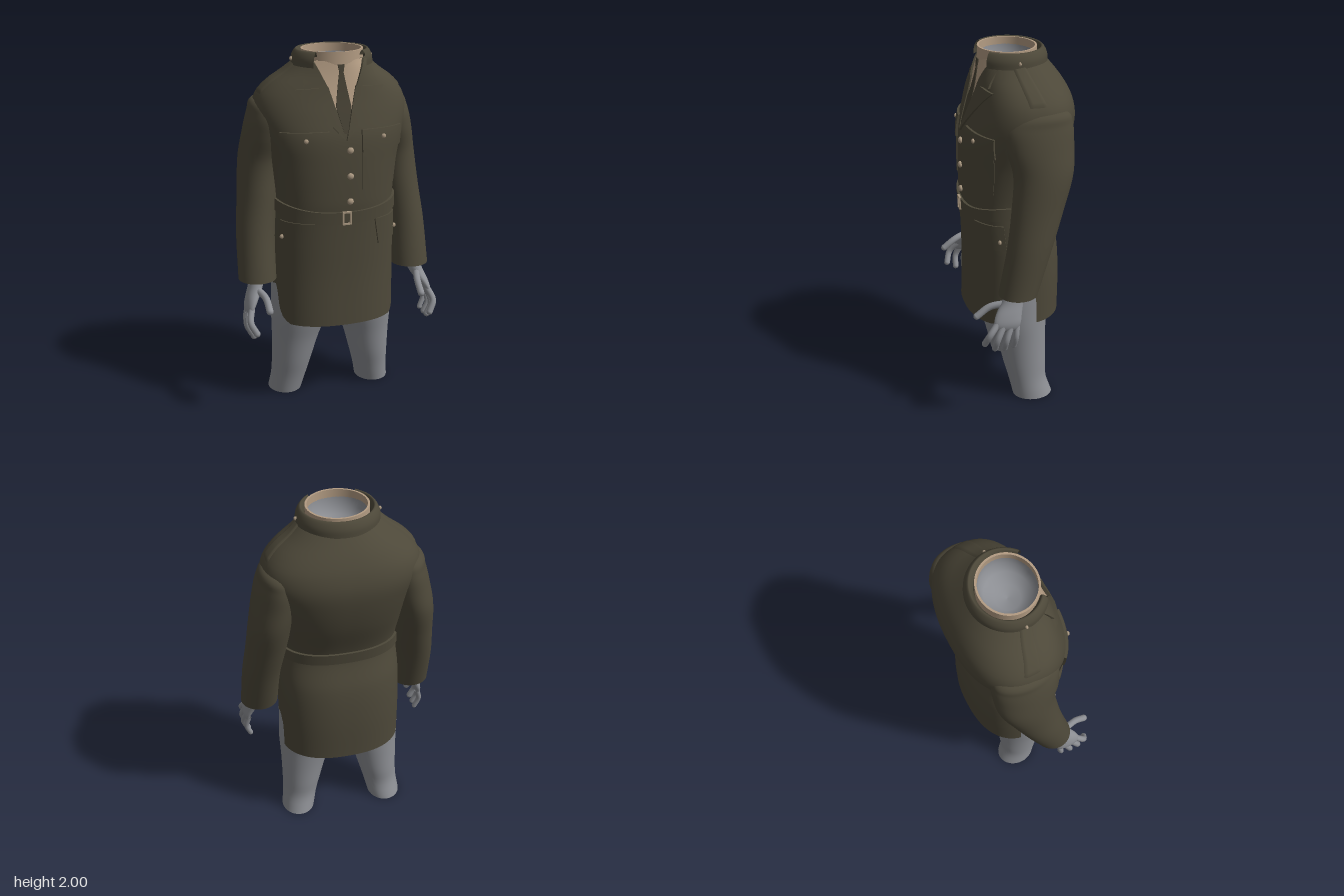
import * as THREE from 'three';
import { mergeVertices, toCreasedNormals } from 'three/addons/utils/BufferGeometryUtils.js';

const material = (name, color) => {
  const m = new THREE.MeshStandardMaterial({ color, side: THREE.DoubleSide });
  m.name = name;
  return m;
};

// Smooth interpolation of table rows keyed by their first column
function spline(rows) {
  const slope = (i, k) => {
    const a = rows[Math.max(i - 1, 0)], b = rows[Math.min(i + 1, rows.length - 1)];
    return (b[k] - a[k]) / (b[0] - a[0]);
  };
  return (t) => {
    let i = 0;
    while (i < rows.length - 2 && t > rows[i + 1][0]) i++;
    const a = rows[i], b = rows[i + 1], h = b[0] - a[0];
    const s = THREE.MathUtils.clamp((t - a[0]) / h, 0, 1), s2 = s * s, s3 = s2 * s;
    return a.slice(1).map((p, j) => (2 * s3 - 3 * s2 + 1) * p + (s3 - 2 * s2 + s) * h * slope(i, j + 1)
      + (3 * s2 - 2 * s3) * b[j + 1] + (s3 - s2) * h * slope(i + 1, j + 1));
  };
}

// Surface from a rule fn(u, v); it faces along du x dv
function grid(nu, nv, fn) {
  const pos = [], idx = [];
  for (let j = 0; j <= nv; j++) for (let i = 0; i <= nu; i++) pos.push(...fn(i / nu, j / nv));
  for (let j = 0; j < nv; j++) for (let i = 0; i < nu; i++) {
    const a = j * (nu + 1) + i, b = a + 1, c = b + nu + 1, d = a + nu + 1;
    idx.push(a, b, c, a, c, d);
  }
  let g = new THREE.BufferGeometry();
  g.setAttribute('position', new THREE.Float32BufferAttribute(pos, 3));
  g.setIndex(idx);
  g = mergeVertices(g, 1e-5);
  g.computeVertexNormals();
  return g;
}

// Vertical limb; rows are y, centre x, centre z, radius x, radius z
function limb(rows, nu, nv, ease = (v) => v) {
  const at = spline(rows), y0 = rows[0][0], y1 = rows[rows.length - 1][0];
  return grid(nu, nv, (u, v) => {
    const y = y0 + (y1 - y0) * ease(v), [cx, cz, rx, rz] = at(y), t = -u * Math.PI * 2;
    return [cx + rx * Math.cos(t), y, cz + rz * Math.sin(t)];
  });
}

// Coat cross-sections: y, half width, front z, back z, roundness
const section = spline([
  [0.49, 0.345, 0.275, -0.252, 2.4], [0.75, 0.345, 0.268, -0.253, 2.4], [0.95, 0.341, 0.27, -0.235, 2.4],
  [1.13, 0.328, 0.275, -0.188, 2.4], [1.2, 0.328, 0.28, -0.198, 2.4], [1.4, 0.36, 0.28, -0.272, 2.4],
  [1.55, 0.4, 0.27, -0.31, 2.4], [1.66, 0.425, 0.238, -0.321, 2.4], [1.75, 0.405, 0.208, -0.303, 2.4],
  [1.82, 0.345, 0.19, -0.268, 2.3], [1.88, 0.262, 0.178, -0.224, 2.2], [1.95, 0.185, 0.168, -0.165, 2],
]);
const spow = (c, e) => Math.sign(c) * Math.abs(c) ** e;
function coatRing(t, y, off = 0) {
  const [w, f, b, n] = section(y);
  return [(w + off) * spow(Math.cos(t), 2 / n), y, (f + b) / 2 + ((f - b) / 2 + off) * spow(Math.sin(t), 2 / n)];
}
// Point on the coat front at x, y, lifted along its normal
function onFront(x, y, off) {
  const [w, f, b, n] = section(y), h = (f - b) / 2;
  const q = Math.min(Math.abs(x) / w, 0.999), k = (1 - q ** n) ** (1 / n);
  const normal = new THREE.Vector2(Math.sign(x) * q ** (n - 1) / w, k ** (n - 1) / h).normalize();
  return [x + normal.x * off, y, (f + b) / 2 + h * k + normal.y * off];
}

// Cloth piece laid on the coat; corners run anticlockwise from bottom left
function patch([a, b, c, d], off) {
  const N = 12, mix = THREE.MathUtils.lerp;
  const inner = (t) => THREE.MathUtils.clamp((t * (N + 2) - 1) / N, 0, 1);
  const g = grid(N + 2, N + 2, (u, v) => {
    const edge = u === 0 || v === 0 || u === 1 || v === 1, s = inner(u), t = inner(v);
    const x = mix(mix(a[0], b[0], s), mix(d[0], c[0], s), t);
    const y = mix(mix(a[1], b[1], s), mix(d[1], c[1], s), t);
    return onFront(x, y, edge ? -0.002 : off);
  });
  return toCreasedNormals(g, 0.7);
}

function mirrored(geo) {
  const g = geo.index ? geo.toNonIndexed() : geo.clone();
  g.scale(-1, 1, 1);
  for (const name of ['position', 'normal']) {
    const arr = g.attributes[name].array;
    for (let i = 0; i < arr.length; i += 9) for (let k = 0; k < 3; k++) {
      const keep = arr[i + 3 + k];
      arr[i + 3 + k] = arr[i + 6 + k];
      arr[i + 6 + k] = keep;
    }
  }
  return g;
}

// Hem height by depth: straight, with an arched vent at each side
const vent = [[-0.05, 0.49], [-0.045, 0.58], [-0.015, 0.655], [0.03, 0.69], [0.07, 0.7], [0.09, 0.64],
  [0.1, 0.57], [0.13, 0.52], [0.175, 0.49]];
function hem(z) {
  for (let i = 0; i < vent.length - 1; i++) {
    const [z0, y0] = vent[i], [z1, y1] = vent[i + 1];
    if (z >= z0 && z < z1) return y0 + (y1 - y0) * (z - z0) / (z1 - z0);
  }
  return 0.49;
}

export function createModel() {
  const group = new THREE.Group();
  const coat = material('olive coat cloth', 0x4d4839);
  const tieCloth = material('dark tie cloth', 0x454033);
  const shirt = material('tan shirt', 0xb39c83);
  const metal = material('button metal', 0xa8967f);
  const skin = material('grey body', 0x8c8e93);
  const add = (name, geo, mat) => {
    const m = new THREE.Mesh(geo, mat);
    m.name = name;
    group.add(m);
  };
  const pair = (name, geo, mat) => {
    add(name + 'Left', geo, mat);
    add(name + 'Right', mirrored(geo), mat);
  };
  const TAU = Math.PI * 2;

  // Coat shell with vented skirt
  add('coatBody', grid(160, 64, (u, v) => {
    const t = -u * TAU, low = hem(coatRing(t, 0.6)[2]);
    return coatRing(t, low + (1.95 - low) * v);
  }), coat);

  // Sleeves
  pair('sleeve', limb([
    [0.75, 0.45, 0.075, 0.105, 0.105], [1.0, 0.44, 0.01, 0.106, 0.12], [1.2, 0.415, -0.038, 0.11, 0.138],
    [1.4, 0.39, -0.076, 0.115, 0.16], [1.55, 0.357, -0.065, 0.12, 0.182], [1.66, 0.34, -0.065, 0.108, 0.178],
    [1.72, 0.34, -0.085, 0.082, 0.125], [1.748, 0.335, -0.1, 0.002, 0.005],
  ], 40, 48, (v) => Math.sin(v * Math.PI / 2)), coat);

  // Belt dipping toward the front
  const beltEdge = [[0, -0.034], [0.013, -0.034], [0.013, 0.034], [0, 0.034]];
  add('belt', toCreasedNormals(grid(96, 3, (u, v) => {
    const t = -u * TAU, [off, dy] = beltEdge[Math.round(v * 3)];
    const y = 1.162 - 0.044 * Math.max(0, Math.sin(t)) ** 2 + dy;
    return coatRing(t, y, off);
  }), 0.7), coat);

  // Belt buckle frame
  const frame = new THREE.Shape([[-0.025, -0.037], [0.025, -0.037], [0.025, 0.037], [-0.025, 0.037]].map((p) => new THREE.Vector2(...p)));
  frame.holes.push(new THREE.Path([[-0.016, -0.028], [-0.016, 0.028], [0.016, 0.028], [0.016, -0.028]].map((p) => new THREE.Vector2(...p))));
  const buckle = new THREE.ExtrudeGeometry(frame, { depth: 0.012, bevelEnabled: false });
  add('beltBuckle', buckle.translate(0, 1.12, 0.285), metal);

  // Shirt front and tie
  add('shirtFront', patch([[-0.05, 1.7], [0.05, 1.7], [0.135, 1.948], [-0.135, 1.948]], 0.004), shirt);
  add('tieBlade', patch([[-0.042, 1.715], [0.042, 1.715], [0.01, 1.9], [-0.01, 1.9]], 0.008), tieCloth);
  add('tieLower', patch([[-0.01, 1.58], [0.01, 1.58], [0.042, 1.715], [-0.042, 1.715]], 0.008), tieCloth);
  add('tieKnot', patch([[-0.01, 1.885], [0.01, 1.885], [0.018, 1.93], [-0.018, 1.93]], 0.011), tieCloth);

  // Lapels and collar leaves
  pair('lapel', patch([[0, 1.54], [0.24, 1.805], [0.15, 1.812], [0.075, 1.82]], 0.012), coat);
  pair('collarLeaf', patch([[0.077, 1.815], [0.2, 1.822], [0.168, 1.947], [0.132, 1.948]], 0.015), coat);

  // Rolled coat collar, open at the front
  const roll = spline([[0, 1.915, 0.222], [0.35, 1.955, 0.218], [0.6, 1.985, 0.203], [0.8, 1.993, 0.188], [1, 1.955, 0.172]]);
  add('coatCollar', grid(64, 12, (u, v) => {
    const t = Math.PI / 2 - 0.72 - u * (TAU - 1.44), [y, r] = roll(v);
    return [r * Math.cos(t), y, 0.01 + (r - 0.015) * Math.sin(t)];
  }), coat);

  // Shirt collar band
  const band = [[0.168, 1.9], [0.168, 1.995], [0.157, 1.995], [0.157, 1.9]];
  add('shirtCollar', toCreasedNormals(grid(64, 3, (u, v) => {
    const t = -u * TAU, [r, y] = band[Math.round(v * 3)];
    return [r * Math.cos(t), y, 0.018 + (r - 0.01) * Math.sin(t)];
  }), 0.7), shirt);

  // Hollow neck
  const bowl = [[0, 1.82], [0.07, 1.83], [0.125, 1.865], [0.152, 1.91], [0.157, 1.955]];
  add('neckHollow', new THREE.LatheGeometry(bowl.map((p) => new THREE.Vector2(...p)), 48)
    .scale(1, 1, 0.94).translate(0, 0, 0.018), skin);

  // Pockets
  pair('chestPocket', patch([[0.09, 1.27], [0.3, 1.27], [0.325, 1.5], [0.09, 1.5]], 0.006), coat);
  pair('chestPocketFlap', patch([[0.088, 1.475], [0.33, 1.48], [0.335, 1.59], [0.088, 1.595]], 0.013), coat);
  pair('hipPocketFlap', patch([[0.195, 0.94], [0.33, 0.95], [0.32, 1.09], [0.17, 1.09]], 0.008), coat);

  // Shoulder straps
  pair('shoulderStrap', grid(8, 16, (u, v) => {
    const y = 1.76 + 0.175 * v, [w, f, b, n] = section(y), edge = u === 0 || u === 1 || v === 0;
    const z = -0.05 + 0.06 * v + (0.5 - u) * (0.1 - 0.03 * v), off = edge ? -0.002 : 0.006;
    const x = w * (1 - Math.abs((z - (f + b) / 2) / ((f - b) / 2)) ** n) ** (1 / n);
    return [x + off * 0.6, y + off * 0.8, z];
  }), coat);

  // Buttons
  const button = (r, p) => new THREE.SphereGeometry(r, 20, 12).scale(1, 1, 0.7).translate(...p);
  for (const y of [1.49, 1.35, 1.21]) add('frontButton', button(0.018, onFront(0.02, y, 0.006)), metal);
  pair('chestButton', button(0.013, onFront(0.21, 1.55, 0.015)), metal);
  pair('hipButton', button(0.013, onFront(0.315, 1.0, 0.01)), metal);
  pair('strapButton', button(0.011, [0.222, 1.945, 0.005]), metal);

  // Legs with flat cut ends
  pair('leg', limb([
    [0, 0.268, -0.06, 0.095, 0.112], [0.1, 0.25, -0.034, 0.101, 0.108], [0.2, 0.235, -0.022, 0.113, 0.122],
    [0.35, 0.214, -0.008, 0.135, 0.138], [0.5, 0.19, 0.005, 0.164, 0.16], [0.7, 0.175, 0, 0.17, 0.185],
    [0.95, 0.16, 0, 0.15, 0.17],
  ], 40, 32), skin);
  pair('legEnd', new THREE.CircleGeometry(1, 40).rotateX(Math.PI / 2).scale(0.095, 1, 0.112).translate(0.268, 0, -0.06), skin);

  // Hands: palm, thumb and four fingers
  pair('palm', limb([
    [0.565, 0.522, 0.148, 0.002, 0.045], [0.58, 0.522, 0.15, 0.015, 0.062], [0.615, 0.518, 0.15, 0.025, 0.074],
    [0.66, 0.5, 0.138, 0.033, 0.072], [0.72, 0.472, 0.11, 0.04, 0.06], [0.8, 0.455, 0.085, 0.038, 0.052],
  ], 24, 24), skin);
  const fingers = [
    ['thumb', 0.019, [0.47, 0.71, 0.14], [0.442, 0.685, 0.23], [0.438, 0.635, 0.3]],
    ['indexFinger', 0.018, [0.515, 0.62, 0.2], [0.533, 0.56, 0.25], [0.505, 0.5, 0.272]],
    ['middleFinger', 0.018, [0.522, 0.61, 0.17], [0.538, 0.53, 0.21], [0.51, 0.467, 0.217]],
    ['ringFinger', 0.017, [0.522, 0.6, 0.13], [0.537, 0.52, 0.16], [0.512, 0.462, 0.165]],
    ['littleFinger', 0.015, [0.515, 0.6, 0.095], [0.53, 0.53, 0.105], [0.508, 0.468, 0.112]],
  ];
  for (const [name, r, ...points] of fingers) {
    const path = new THREE.CatmullRomCurve3(points.map((p) => new THREE.Vector3(...p)));
    pair(name, new THREE.TubeGeometry(path, 14, r, 12), skin);
    pair(name + 'Tip', new THREE.SphereGeometry(r, 12, 10).translate(...points[2]), skin);
  }
  return group;
}
